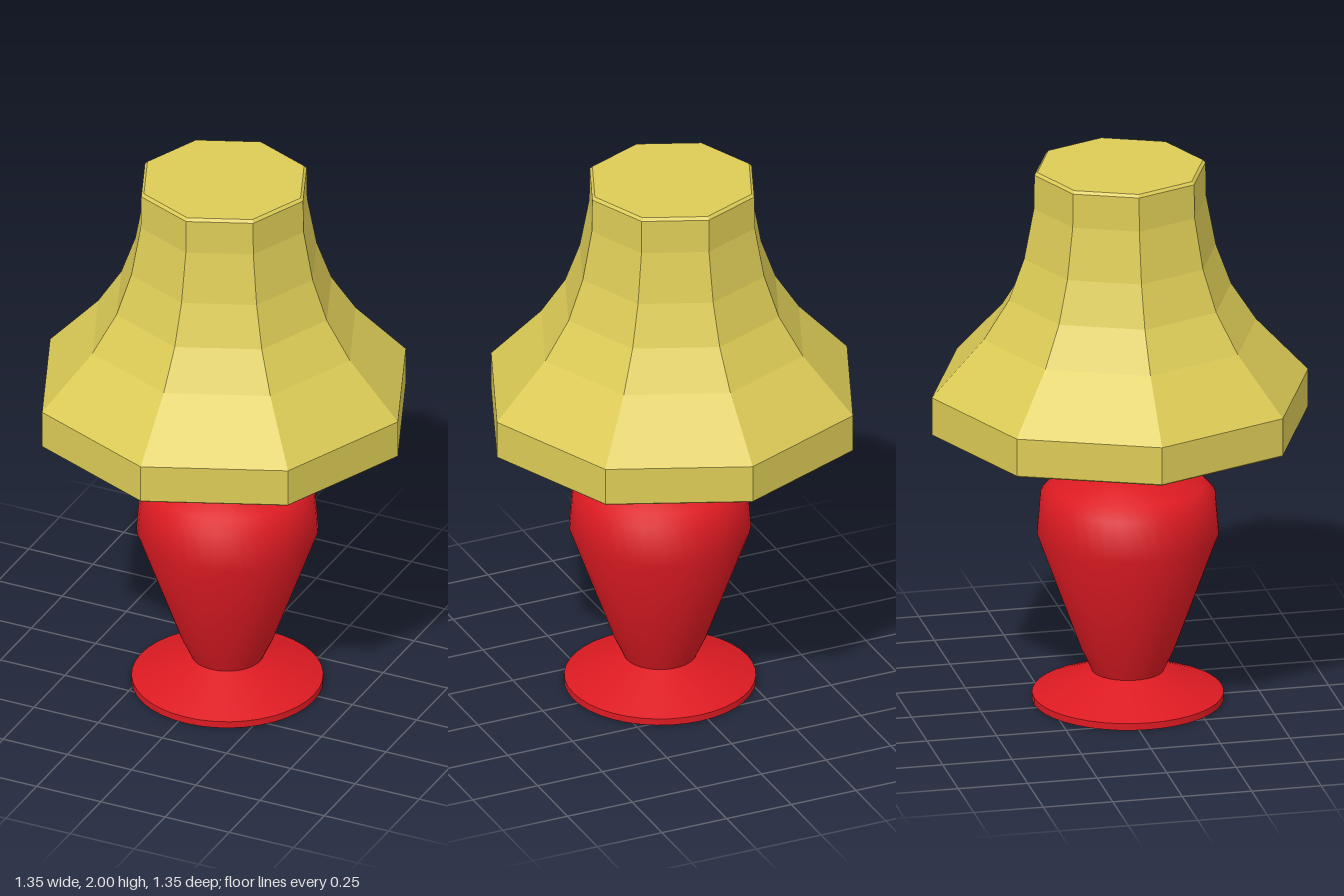
import * as THREE from 'three';
import { toCreasedNormals } from 'three/addons/utils/BufferGeometryUtils.js';

const lathe = (profile, sides) =>
  new THREE.LatheGeometry(profile.map(([r, y]) => new THREE.Vector2(r, y)), sides);

export function createModel() {
  const lamp = new THREE.Group();
  lamp.name = 'tableLamp';

  // Round vase-shaped stand: foot, tapering body, shoulder and neck, slightly off the shade's axis
  const standProfile = [
    [0, 0], [0.337, 0], [0.337, 0.025], [0.128, 0.11], [0.165, 0.19],
    [0.32, 0.62], [0.308, 0.765], [0.273, 0.805], [0.13, 0.85], [0.1, 1.11], [0, 1.11],
  ];
  const stand = new THREE.Mesh(
    toCreasedNormals(lathe(standProfile, 40), 0.68),
    new THREE.MeshStandardMaterial({ color: 0xdc1a22 }),
  );
  stand.name = 'stand';
  stand.position.set(0.03, 0, 0.035);
  lamp.add(stand);

  // Eight-sided flared shade, closed on top and shallowly recessed underneath
  const shadeProfile = [
    [0, 1.11], [0.61, 1.11], [0.615, 1.045], [0.672, 1.045], [0.677, 1.05],
    [0.677, 1.188], [0.49, 1.39], [0.4, 1.53], [0.345, 1.68], [0.31, 1.865],
    [0.308, 1.99], [0.298, 2], [0, 2],
  ];
  const shade = new THREE.Mesh(
    lathe(shadeProfile, 8),
    new THREE.MeshStandardMaterial({ color: 0xdccb56, flatShading: true }),
  );
  shade.name = 'shade';
  lamp.add(shade);

  return lamp;
}
